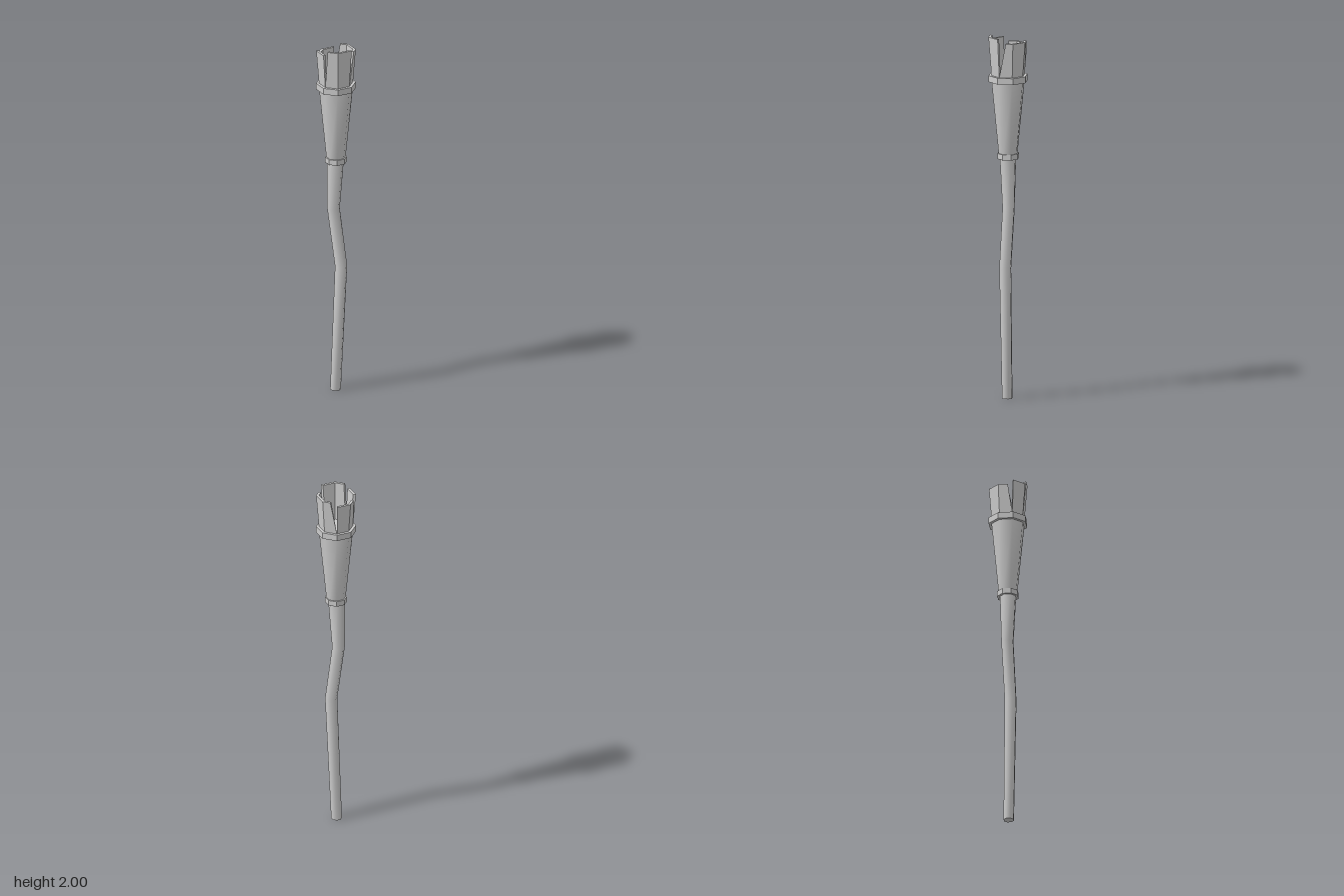
import * as THREE from 'three';
import { mergeVertices } from 'three/addons/utils/BufferGeometryUtils.js';

const SIDES = 8;
const STEP = Math.PI / 4;

// Smooth eight-sided tube through rows of [x, y, z, radius], bottom to top
function loft(rows) {
  const geo = new THREE.CylinderGeometry(1, 1, 1, SIDES, rows.length - 1, true);
  const pos = geo.attributes.position;
  for (let i = 0; i < pos.count; i++) {
    const [x, y, z, r] = rows[Math.round((pos.getY(i) + 0.5) * (rows.length - 1))];
    pos.setXYZ(i, x + pos.getX(i) * r, y, z + pos.getZ(i) * r);
  }
  geo.deleteAttribute('uv');
  geo.deleteAttribute('normal');
  const merged = mergeVertices(geo, 1e-5);
  merged.computeVertexNormals();
  return merged;
}

// Flat-sided octagonal collar
function collar(r, y0, y1) {
  const geo = new THREE.CylinderGeometry(r, r, y1 - y0, SIDES).toNonIndexed();
  geo.translate(0, (y0 + y1) / 2, 0);
  geo.computeVertexNormals();
  return geo;
}

// Point on an octagon of corner radius r at angle a (degrees)
function octPoint(r, y, deg) {
  const a = THREE.MathUtils.degToRad(deg);
  const local = THREE.MathUtils.euclideanModulo(a, STEP) - STEP / 2;
  const d = (r * Math.cos(STEP / 2)) / Math.cos(local);
  return [Math.cos(a) * d, y, Math.sin(a) * d];
}

// Flared wall piece; columns are [angle at base, angle at top]
function prong(columns, top) {
  const base = 1.785;
  const flare = 0.016 * (top - base) / 0.2;
  const sections = columns.map(([b, t]) => [
    octPoint(0.092, base, b),
    octPoint(0.092 + flare, top, t),
    octPoint(0.077 + flare, top, t),
    octPoint(0.077, base, b),
  ]);
  const out = [];
  const quad = (a, b, c, d) => out.push(...a, ...b, ...c, ...a, ...c, ...d);
  for (let i = 0; i < sections.length - 1; i++) {
    const c = sections[i], n = sections[i + 1];
    for (let k = 0; k < 4; k++) {
      const m = (k + 1) % 4;
      quad(n[k], c[k], c[m], n[m]);
    }
  }
  const s = sections[0], e = sections[sections.length - 1];
  quad(s[0], s[3], s[2], s[1]);
  quad(e[0], e[1], e[2], e[3]);
  const geo = new THREE.BufferGeometry();
  geo.setAttribute('position', new THREE.Float32BufferAttribute(out, 3));
  geo.computeVertexNormals();
  return geo;
}

export function createModel() {
  const group = new THREE.Group();
  const grey = new THREE.MeshStandardMaterial({ color: 0xcccccc });
  grey.name = 'light grey';
  const add = (name, geo) => {
    const mesh = new THREE.Mesh(geo, grey);
    mesh.name = name;
    group.add(mesh);
    return mesh;
  };

  // Crooked handle and its end
  add('handle', loft([
    [-0.003, 0, 0.004, 0.029],
    [0.025, 0.725, 0.022, 0.033],
    [-0.013, 1.05, -0.006, 0.034],
    [-0.003, 1.33, 0, 0.045],
  ]));
  const end = new THREE.CircleGeometry(0.029, SIDES);
  end.rotateX(Math.PI / 2);
  end.translate(-0.003, 0, 0.004);
  add('handleEnd', end);

  // Flared head between two collars
  add('lowerCollar', collar(0.06, 1.325, 1.355));
  add('head', loft([[0, 1.35, 0, 0.052], [0, 1.757, 0, 0.092]]));
  add('upperCollar', collar(0.108, 1.752, 1.787));

  // Four uneven prongs with slanted gaps between them
  add('frontProng', prong([[45, 45], [90, 90], [135, 122]], 2));
  add('leftProng', prong([[-90, -69], [-45, -45], [0, 0], [45, 21.6]], 1.977));
  add('rightProng', prong([[135, 135], [180, 180]], 1.977));
  add('backProng', prong([[180, 196], [225, 225], [270, 270]], 1.955));

  return group;
}
